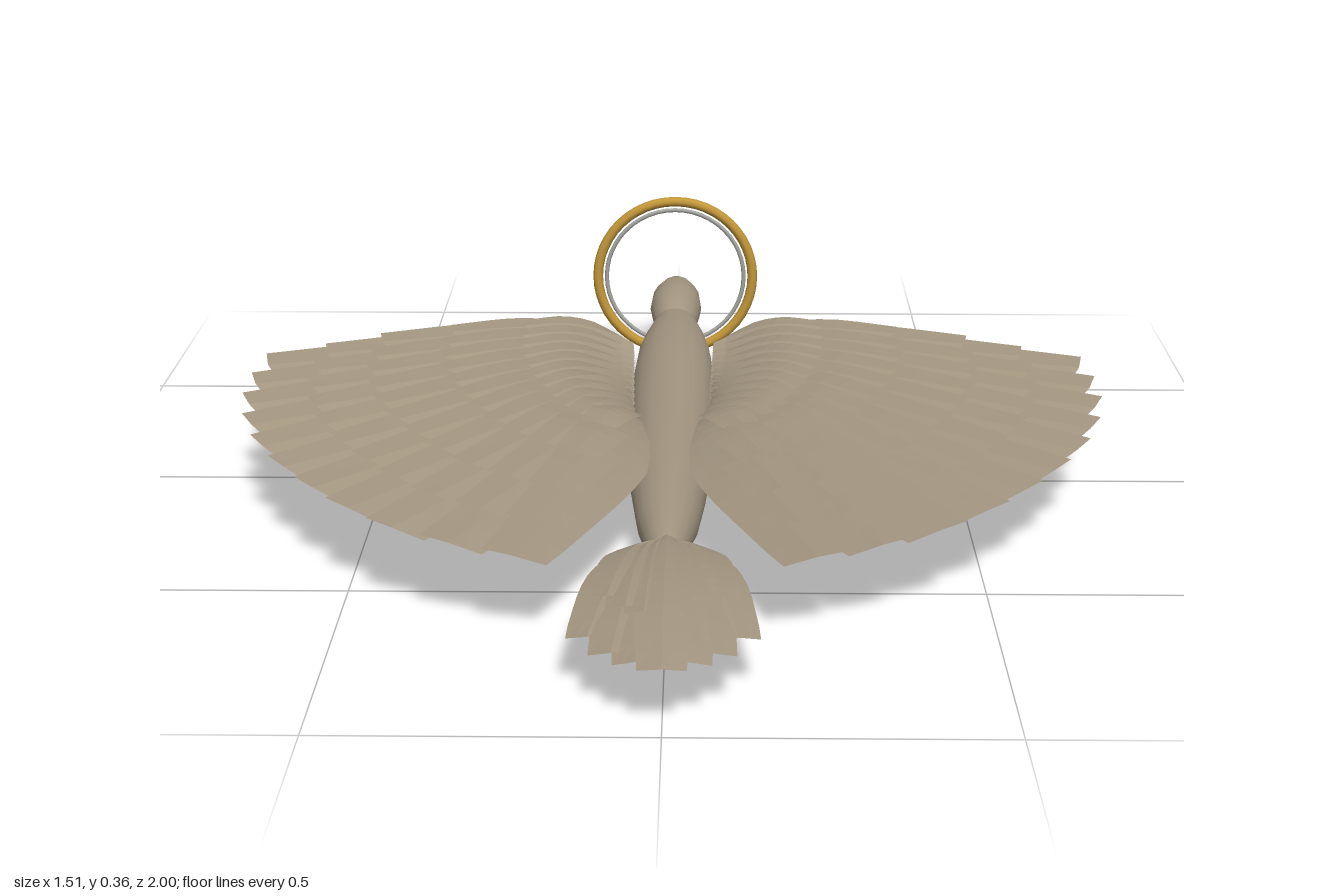
import * as THREE from 'three';
import { mergeGeometries } from 'three/addons/utils/BufferGeometryUtils.js';

const { lerp } = THREE.MathUtils;

// Closed skin through elliptical rings [z, centreY, halfWidth, halfHeight], running towards -z
function loft(rings, sides = 18) {
  const pos = [], index = [];
  rings.forEach(([z, cy, rx, ry], r) => {
    for (let i = 0; i < sides; i++) {
      const a = (i / sides) * Math.PI * 2;
      pos.push(Math.cos(a) * rx, cy + Math.sin(a) * ry, z);
      if (r === rings.length - 1) continue;
      const p = r * sides + i, q = r * sides + ((i + 1) % sides);
      index.push(p, p + sides, q, q, p + sides, q + sides);
    }
  });
  const g = new THREE.BufferGeometry();
  g.setAttribute('position', new THREE.Float32BufferAttribute(pos, 3));
  g.setIndex(index);
  g.computeVertexNormals();
  return g;
}

// Blunt, ridged vane from root to tip (x, z pairs); height(t) gives its y, roll tilts it
function feather({ root, tip, width, height, bow = 0, roll = 0, skew = 0 }) {
  const g = new THREE.PlaneGeometry(1, 1, 4, 9);
  const p = g.attributes.position;
  const dx = tip[0] - root[0], dz = tip[1] - root[1], len = Math.hypot(dx, dz);
  const fx = dx / len, fz = dz / len; // along the feather; side vector is (fz, -fx)
  for (let i = 0; i < p.count; i++) {
    const t = 0.5 - p.getY(i), v = p.getX(i) * 2;
    const w = 0.5 * width * Math.min(1, 0.22 + 2.2 * t) * (1 - 0.22 * Math.max(0, (t - 0.6) / 0.4));
    const side = v * w + bow * Math.sin(Math.PI * Math.sqrt(t));
    const along = t * len + (t > 0.99 ? v * skew - Math.abs(v) * 0.008 : 0);
    const y = height(t) + v * w * roll + (1 - Math.abs(v)) * 0.006;
    p.setXYZ(i, root[0] + fx * along + fz * side, y, root[1] + fz * along - fx * side);
  }
  g.computeVertexNormals();
  return g;
}

export function createModel() {
  const plumage = new THREE.MeshStandardMaterial({ color: 0xa39681 });
  plumage.name = 'plumage';
  const feathers = new THREE.MeshStandardMaterial({ color: 0xa39681, side: THREE.DoubleSide, flatShading: true });
  feathers.name = 'feathers';
  const gold = new THREE.MeshStandardMaterial({ color: 0xc4983a });
  gold.name = 'gold';
  const silver = new THREE.MeshStandardMaterial({ color: 0xa8a8a4 });
  silver.name = 'silver';

  const model = new THREE.Group();
  const add = (name, geometry, material, parent = model) => {
    const mesh = new THREE.Mesh(geometry, material);
    mesh.name = name;
    parent.add(mesh);
    return mesh;
  };

  // Slim body and neck
  add('body', loft([
    [0.565, 0.085, 0.001, 0.001], [0.55, 0.083, 0.018, 0.02], [0.5, 0.08, 0.034, 0.035],
    [0.4, 0.075, 0.05, 0.048], [0.25, 0.07, 0.063, 0.06], [0.05, 0.067, 0.072, 0.067],
    [-0.15, 0.069, 0.076, 0.069], [-0.32, 0.075, 0.076, 0.068], [-0.45, 0.08, 0.07, 0.06],
    [-0.55, 0.082, 0.058, 0.05], [-0.62, 0.085, 0.045, 0.041], [-0.68, 0.09, 0.03, 0.03],
    [-0.7, 0.09, 0.001, 0.001],
  ]), plumage);

  // Head
  add('head', loft([
    [-0.59, 0.088, 0.001, 0.001], [-0.61, 0.089, 0.03, 0.03], [-0.65, 0.094, 0.044, 0.042],
    [-0.71, 0.099, 0.051, 0.047], [-0.77, 0.1, 0.048, 0.046], [-0.82, 0.099, 0.037, 0.037],
    [-0.85, 0.096, 0.024, 0.025], [-0.86, 0.095, 0.001, 0.001],
  ]), plumage);

  // Pointed beak, drooping slightly
  add('beak', loft([
    [-0.82, 0.097, 0.028, 0.027], [-0.88, 0.088, 0.019, 0.018],
    [-0.94, 0.077, 0.01, 0.01], [-1, 0.067, 0.001, 0.001],
  ], 12), gold);

  // Upright ring around the neck with a fine inner wire
  add('neckRing', new THREE.TorusGeometry(0.151, 0.0095, 8, 48), gold).position.set(0, 0.2, -0.595);
  add('innerWire', new THREE.TorusGeometry(0.134, 0.004, 6, 48), silver).position.set(0, 0.2, -0.595);

  // Wings: stacked fans of feathers, longest at the bottom
  const tips = new THREE.CatmullRomCurve3([
    [0.735, -0.19], [0.735, 0], [0.68, 0.22], [0.56, 0.43], [0.4, 0.61], [0.225, 0.705],
  ].map(([x, z]) => new THREE.Vector3(x, 0, z)));
  const layers = [
    { name: 'flightFeathers', reach: 1, rootY: 0.126, tipY: 0.142 },
    { name: 'longCoverts', reach: 0.84, rootY: 0.13, tipY: 0.157 },
    { name: 'middleCoverts', reach: 0.69, rootY: 0.134, tipY: 0.173 },
    { name: 'shortCoverts', reach: 0.5, rootY: 0.138, tipY: 0.184 },
    { name: 'shoulderCoverts', reach: 0.3, rootY: 0.142, tipY: 0.188 },
  ];
  const count = 11;
  const wingLayers = layers.map(({ reach, rootY, tipY }) => mergeGeometries(
    Array.from({ length: count }, (_, i) => {
      const u = i / (count - 1);
      const end = tips.getPointAt(u);
      const root = [0.075, lerp(-0.33, 0.05, u)];
      return feather({
        root,
        tip: [lerp(root[0], end.x, reach), lerp(root[1], end.z, reach)],
        width: 0.122 * lerp(0.4, 1, reach),
        height: (t) => lerp(rootY, tipY, Math.sin(Math.min(1, t * 1.3) * Math.PI / 2)),
        bow: lerp(0.035, -0.035, u) * reach,
        roll: 0.25,
        skew: 0.008,
      });
    })));
  for (const [name, side] of [['leftWing', 1], ['rightWing', -1]]) {
    const wing = new THREE.Group();
    wing.name = name;
    wing.scale.x = side;
    wingLayers.forEach((g, k) => add(layers[k].name, g, feathers, wing));
    model.add(wing);
  }

  // Tail: narrow fan with a shorter layer on top
  const tail = new THREE.Group();
  tail.name = 'tail';
  [['tailFeathers', 1, 0], ['tailCoverts', 0.72, 0.008]].forEach(([name, reach, lift]) => {
    const fan = [-3, -2, -1, 0, 1, 2, 3].map((k) => {
      const a = Math.abs(k);
      const tip = [k * 0.036, 1 - [0, 0.03, 0.065, 0.125][a]];
      const root = [k * 0.006, 0.53];
      return feather({
        root,
        tip: [lerp(root[0], tip[0], reach), lerp(root[1], tip[1], reach)],
        width: 0.088 * lerp(0.5, 1, reach),
        height: (t) => 0.098 + lift + 0.018 * Math.sin(Math.PI * t * reach) - a * 0.003,
        bow: k * 0.006,
        roll: -Math.sign(k) * 0.12,
      });
    });
    add(name, mergeGeometries(fan), feathers, tail);
  });
  model.add(tail);

  return model;
}
